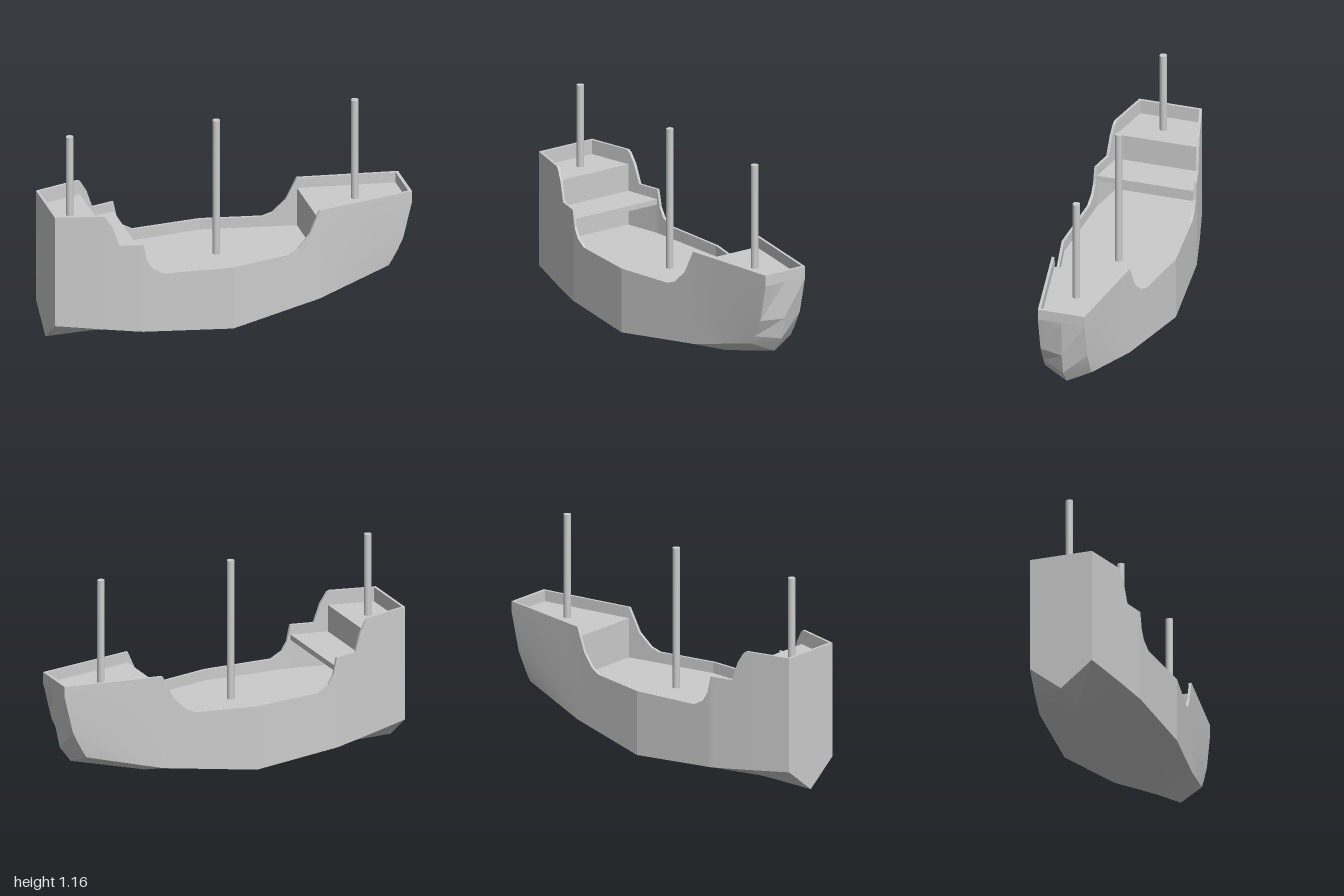
import * as THREE from 'three';
import { toCreasedNormals } from 'three/addons/utils/BufferGeometryUtils.js';

const material = new THREE.MeshStandardMaterial({ color: 0xcccccc });
const skin = new THREE.MeshStandardMaterial({ color: 0xcccccc, side: THREE.DoubleSide });
const lerp = THREE.MathUtils.lerp;
const V = (x, y, z) => new THREE.Vector3(x, y, z);

// Hull lines as [x, value]
const WIDTH = [[-1, 0.175], [-0.74, 0.24], [-0.54, 0.285], [-0.05, 0.318], [0.46, 0.217], [1, 0.13]];
const CHINE = [[-1, 0.14], [-0.56, 0.095], [-0.05, 0.06], [0.46, 0.12]];
const KEEL = [[-1, 0], [-0.05, 0], [0.46, 0.04]];
const SHEER = [[-1, 0.78], [-0.75, 0.78], [-0.735, 0.77], [-0.7, 0.71], [-0.665, 0.605], [-0.54, 0.605],
  [-0.52, 0.51], [-0.49, 0.46], [-0.43, 0.425], [-0.05, 0.42], [0.28, 0.42], [0.33, 0.44],
  [0.4, 0.51], [0.46, 0.64], [1, 0.64]];
// Bow corner and bow centreline as [x, y], from the bottom up
const BOW_EDGE = [[0.87, 0.22], [0.9, 0.27], [0.95, 0.37], [1, 0.58], [1, 0.64]];
const BOW_MID = [[0.9, 0.162], [0.965, 0.25], [0.99, 0.37], [1, 0.58], [1, 0.64]];
const BOW_HALF = 0.13, FORE = 0.46, RAIL = 0.015;
const LEVELS = BOW_EDGE.map(([, y]) => (y - 0.22) / 0.42);

function at(line, x) {
  for (let i = 1; i < line.length; i++) {
    const [x0, a] = line[i - 1], [x1, b] = line[i];
    if (x <= x1) return lerp(a, b, (x - x0) / (x1 - x0));
  }
  return line[line.length - 1][1];
}

// Skin over rows of points
function skinOver(rows) {
  const pos = [];
  const put = (...pts) => pts.forEach((p) => pos.push(p.x, p.y, p.z));
  for (let i = 0; i + 1 < rows.length; i++) {
    for (let j = 0; j + 1 < rows[i].length; j++) {
      const a = rows[i][j], b = rows[i + 1][j], c = rows[i + 1][j + 1], d = rows[i][j + 1];
      put(a, d, c, a, c, b);
    }
  }
  const g = new THREE.BufferGeometry();
  g.setAttribute('position', new THREE.Float32BufferAttribute(pos, 3));
  return toCreasedNormals(g, 0.22);
}

// Half section on the +z side: inside of bulwark, rail, planking, chine, keel
function halfSection(x) {
  const s = Math.min(x, FORE), t = Math.max(0, (x - FORE) / (1 - FORE));
  const w = at(WIDTH, s), chine = at(CHINE, s), top = at(SHEER, s);
  const planks = LEVELS.map((v, k) => V(s, lerp(chine, top, v), w)
    .lerp(V(BOW_EDGE[k][0], BOW_EDGE[k][1], BOW_HALF), t)).reverse();
  const rail = planks[0].clone();
  rail.z -= RAIL;
  const foot = V(rail.x, lerp(0.36, 0.58, t), rail.z);
  const keel = V(s, at(KEEL, s), 0).lerp(V(BOW_MID[0][0], BOW_MID[0][1], 0), t);
  return [foot, rail, ...planks, keel];
}

const mirror = (p) => V(p.x, p.y, -p.z);

// Deck following the plan of the hull
function deckGeometry(x0, x1, bottom, top) {
  const xs = [x0, ...WIDTH.map((p) => p[0]).filter((x) => x > x0 && x < x1), x1];
  const side = xs.map((x) => new THREE.Vector2(x, -at(WIDTH, x) + 0.008));
  const other = side.map((p) => new THREE.Vector2(p.x, -p.y)).reverse();
  const g = new THREE.ExtrudeGeometry(new THREE.Shape([...side, ...other]),
    { depth: top - bottom, bevelEnabled: false });
  return g.rotateX(-Math.PI / 2).translate(0, bottom, 0);
}

export function createModel() {
  const ship = new THREE.Group();
  ship.name = 'sailingShip';
  const add = (name, geometry, mat = material) => {
    const mesh = new THREE.Mesh(geometry, mat);
    mesh.name = name;
    ship.add(mesh);
    return mesh;
  };
  const box = (name, x0, x1, y0, y1, width) => add(name,
    new THREE.BoxGeometry(x1 - x0, y1 - y0, width).translate((x0 + x1) / 2, (y0 + y1) / 2, 0));

  // Hull with bulwarks
  const stations = [...SHEER.map((p) => p[0]), -0.56, 0.64, 0.82].sort((a, b) => a - b);
  add('hull', skinOver(stations.map((x) => {
    const half = halfSection(x);
    return [...half, ...half.slice(0, -1).reverse().map(mirror)];
  })), skin);

  // Blunt bow
  add('bow', skinOver(BOW_EDGE.map(([x, y], k) => [
    V(x, y, BOW_HALF), V(BOW_MID[k][0], BOW_MID[k][1], 0), V(x, y, -BOW_HALF),
  ])), skin);
  box('bowRail', 0.982, 0.9995, 0.58, 0.64, 2 * BOW_HALF);

  // Transom, pointed down to the keel
  const outline = [[0, 0], [0.175, 0.14], [0.175, 0.78], [-0.175, 0.78], [-0.175, 0.14]];
  add('transom', new THREE.ExtrudeGeometry(
    new THREE.Shape(outline.map(([z, y]) => new THREE.Vector2(z, y))),
    { depth: RAIL, bevelEnabled: false }).rotateY(Math.PI / 2).translate(-1, 0, 0));

  // Decks, with an open space below the quarterdeck
  add('poopDeck', deckGeometry(-0.99, -0.74, 0.36, 0.7));
  add('quarterDeck', deckGeometry(-0.74, -0.54, 0.52, 0.55));
  add('mainDeck', deckGeometry(-0.745, FORE + 0.01, 0.34, 0.36));
  add('foreDeck', deckGeometry(FORE, 0.985, 0.565, 0.58));
  box('forecastleWall', FORE, FORE + 0.015, 0.35, 0.575, 0.415);

  // Masts
  [['mizzenMast', -0.865, 0.7, 1.16], ['mainMast', -0.05, 0.36, 1.145], ['foreMast', 0.72, 0.58, 1.16]]
    .forEach(([name, x, y0, y1]) => add(name,
      new THREE.CylinderGeometry(0.02, 0.02, y1 - y0, 24).translate(x, (y0 + y1) / 2, 0)));

  return ship;
}
